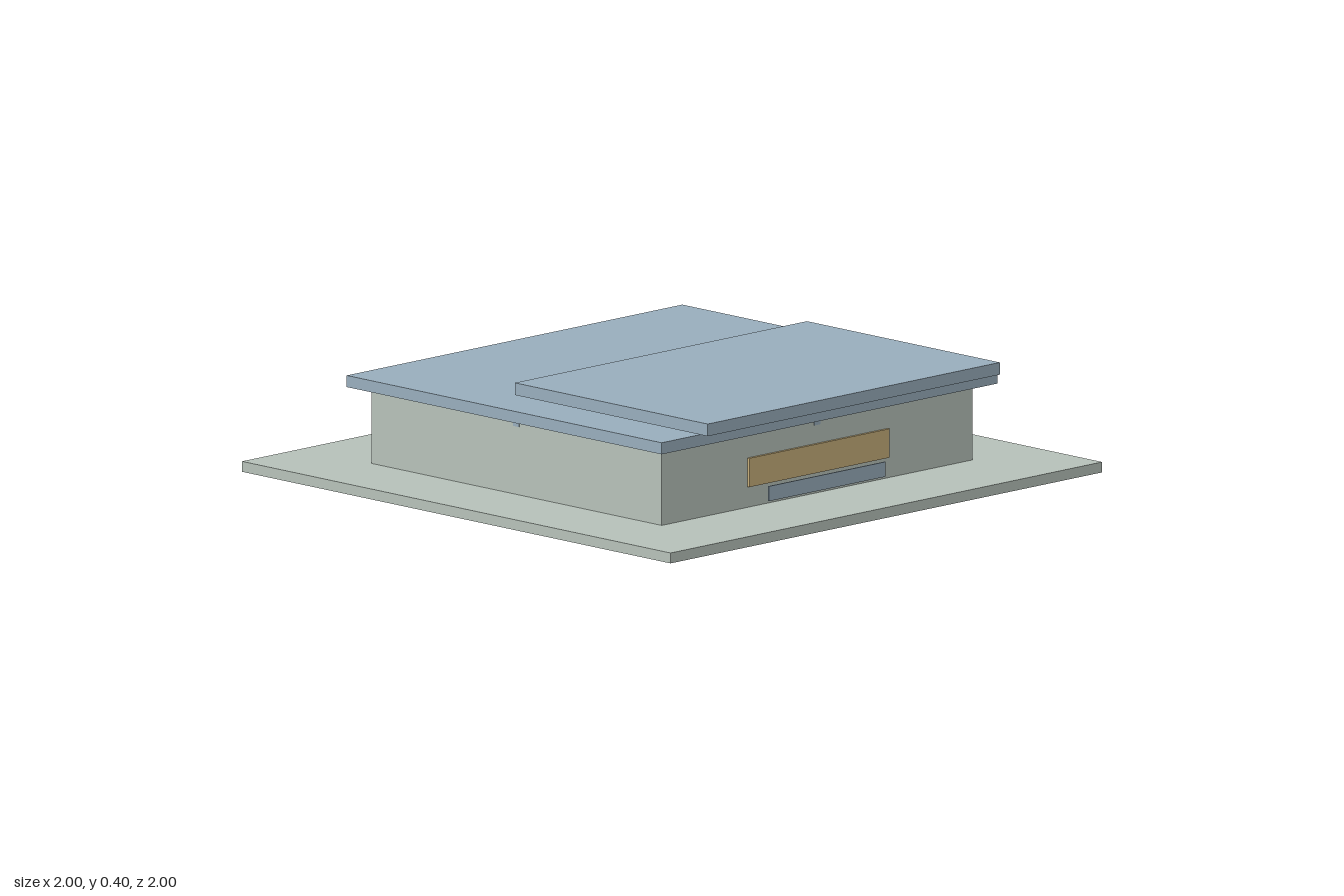
import * as THREE from 'three';

export function createModel() {
  const model = new THREE.Group();
  model.name = 'pavilion';
  const mat = (name, color) => {
    const m = new THREE.MeshStandardMaterial({ color });
    m.name = name;
    return m;
  };
  const stone = mat('pale grey green', 0xb8c3bb);
  const blue = mat('slate blue', 0x9aafbe);
  const ochre = mat('ochre', 0xc9b07b);

  // Box given by its minimum and maximum on each axis
  const box = (name, material, [x0, x1], [y0, y1], [z0, z1], parent = model) => {
    const mesh = new THREE.Mesh(new THREE.BoxGeometry(x1 - x0, y1 - y0, z1 - z0), material);
    mesh.position.set((x0 + x1) / 2, (y0 + y1) / 2, (z0 + z1) / 2);
    mesh.name = name;
    parent.add(mesh);
    return mesh;
  };

  // Ground slab, main block and overhanging roof
  box('baseSlab', stone, [-1, 1], [0, 0.035], [-1, 1]);
  box('building', stone, [-0.72, 0.72], [0.035, 0.292], [-0.677, 0.677]);
  box('roof', blue, [-0.778, 0.778], [0.292, 0.331], [-0.735, 0.735]);

  // Raised canopy on two short posts
  box('canopy', blue, [-0.677, 0.677], [0.355, 0.396], [-0.052, 0.848]);
  for (const x of [-0.383, 0.383]) {
    box('canopyPost', stone, [x - 0.014, x + 0.014], [0.331, 0.355], [0.386, 0.414]);
  }

  // Front panel and the thin plate hanging before it
  box('frontPanel', ochre, [-0.325, 0.325], [0.105, 0.202], [0.679, 0.688]);
  box('frontPlate', blue, [-0.27, 0.27], [0.055, 0.105], [0.72, 0.725]);

  // Small square plate under the eaves on each side
  for (let i = 0; i < 4; i++) {
    const side = new THREE.Group();
    side.name = 'eavesPlateSide';
    side.rotation.y = (i * Math.PI) / 2;
    const d = i % 2 ? 0.72 : 0.677;
    box('eavesPlate', blue, [-0.014, 0.014], [0.264, 0.291], [d, d + 0.003], side);
    model.add(side);
  }

  return model;
}
